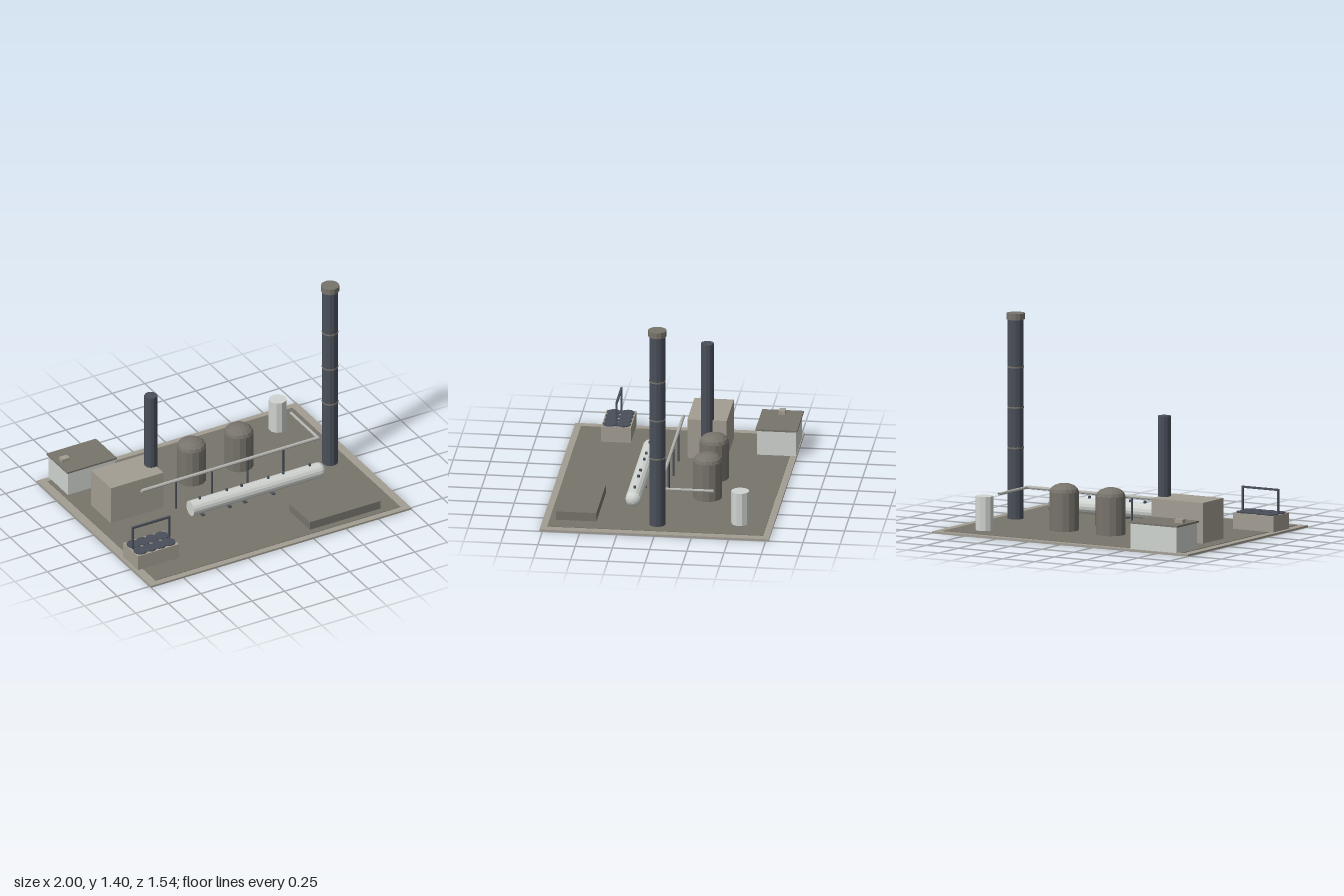
import * as THREE from 'three';

const mat = (name, color, flat = true) =>
  Object.assign(new THREE.MeshStandardMaterial({ color, flatShading: flat }), { name });

export function createModel() {
  const root = new THREE.Group();
  root.name = 'industrialPlant';
  const concrete = mat('concrete', 0xa39e93);
  const grey = mat('darkGrey', 0x78746c);
  const slate = mat('slate', 0x4a4f5a);
  const pale = mat('paleMetal', 0xd0d4d0);
  const G = 0.016; // ground level

  const add = (name, geo, m, x, y, z, parent = root) => {
    const mesh = new THREE.Mesh(geo, m);
    mesh.name = name;
    mesh.position.set(x, y, z);
    parent.add(mesh);
    return mesh;
  };
  // Box and upright cylinder given by their lower and upper limits
  const box = (name, m, x0, x1, y0, y1, z0, z1, parent) =>
    add(name, new THREE.BoxGeometry(x1 - x0, y1 - y0, z1 - z0), m,
      (x0 + x1) / 2, (y0 + y1) / 2, (z0 + z1) / 2, parent);
  const drum = (name, m, x, z, r, y0, y1, sides = 12, parent) =>
    add(name, new THREE.CylinderGeometry(r, r, y1 - y0, sides), m, x, (y0 + y1) / 2, z, parent);
  const group = (name) => {
    const g = new THREE.Group();
    g.name = name;
    root.add(g);
    return g;
  };

  // Ground slab with a pale kerb
  box('kerbSlab', concrete, -1, 1, 0, 0.013, -0.77, 0.77);
  box('yard', grey, -0.94, 0.94, 0.005, G, -0.725, 0.725);

  // Tall banded chimney
  const chimney = group('tallChimney');
  drum('chimneyShaft', slate, 0.815, 0, 0.053, G, 1.37, 12, chimney);
  drum('chimneyCap', grey, 0.815, 0, 0.062, 1.36, 1.402, 12, chimney);
  for (const y of [0.495, 0.768, 1.04])
    drum('chimneyBand', grey, 0.815, 0, 0.056, y - 0.005, y + 0.005, 12, chimney);

  // Boiler house with its stack
  box('boilerHouse', concrete, -0.84, -0.437, G, 0.29, -0.315, -0.05);
  drum('boilerStack', slate, -0.458, -0.182, 0.044, G, 0.832, 12);

  // Office with overhanging roof and roof unit
  const office = group('office');
  box('officeWalls', pale, -0.91, -0.55, G, 0.188, -0.765, -0.505, office);
  box('officeRoof', grey, -0.92, -0.54, 0.188, 0.2, -0.775, -0.495, office);
  box('roofUnit', concrete, -0.89, -0.83, 0.2, 0.225, -0.66, -0.617, office);

  // Water tank
  drum('waterTank', pale, 0.725, -0.546, 0.061, G, 0.245, 10);

  // Domed storage tanks
  for (const x of [-0.094, 0.27]) {
    const tank = group('storageTank');
    add('tankBody', new THREE.CylinderGeometry(0.098, 0.098, 0.26, 14, 1, true), grey, x, G + 0.13, -0.272, tank);
    const dome = add('tankDome', new THREE.SphereGeometry(0.098, 14, 4, 0, Math.PI * 2, 0, Math.PI / 2),
      grey, x, G + 0.26, -0.272, tank);
    dome.scale.y = 0.57;
  }

  // Horizontal vessel: flat at one end, rounded at the other
  const vessel = group('horizontalVessel');
  const R = 0.053, profile = [[0, 0], [R, 0], [R, 0.985]];
  for (let i = 1; i <= 4; i++) {
    const a = (i / 4) * Math.PI / 2;
    profile.push([R * Math.cos(a), 0.985 + 0.042 * Math.sin(a)]);
  }
  const shell = add('vesselShell', new THREE.LatheGeometry(profile.map(p => new THREE.Vector2(...p)), 16),
    pale, -0.365, 0.113, 0.185, vessel);
  shell.rotation.z = -Math.PI / 2;
  for (const x of [-0.29, -0.083, 0.03, 0.235, 0.35, 0.553])
    drum('vesselValve', slate, x, 0.183, 0.009, 0.155, 0.181, 6, vessel);
  for (const x of [-0.29, -0.083, 0.035, 0.25])
    box('vesselSaddle', slate, x - 0.011, x + 0.011, 0.057, 0.066, 0.138, 0.234, vessel);

  // Overhead pipe with a branch and posts
  const pipes = group('pipeBridge');
  const pipe = (name, a, b, r, m) => {
    const curve = new THREE.LineCurve3(new THREE.Vector3(...a), new THREE.Vector3(...b));
    const mesh = add(name, new THREE.TubeGeometry(curve, 1, r, 8), m, 0, 0, 0, pipes);
    return mesh;
  };
  const pipeMat = mat('pipeMetal', 0xb4b5b0);
  pipeMat.side = THREE.DoubleSide;
  pipe('mainPipe', [-0.637, 0.234, 0], [0.727, 0.234, 0], 0.012, pipeMat);
  pipe('branchPipe', [0.723, 0.234, 0], [0.723, 0.234, -0.365], 0.01, pipeMat);
  for (const x of [-0.368, -0.093, 0.182, 0.455])
    drum('pipePost', slate, x, 0, 0.007, 0, 0.23, 6, pipes);

  // Low slab
  box('lowSlab', grey, 0.27, 0.813, G, 0.075, 0.41, 0.68);

  // Cooling unit with eight fans and a gantry
  const cooler = group('coolingUnit');
  box('coolerBody', concrete, -0.98, -0.665, G, 0.124, 0.357, 0.556, cooler);
  for (let i = 0; i < 4; i++)
    for (const z of [0.41, 0.502])
      drum('coolerFan', slate, -0.93 + i * 0.072, z, 0.047, 0.122, 0.132, 12, cooler);
  for (const x of [-0.96, -0.682])
    box('gantryPost', slate, x - 0.006, x + 0.006, 0.12, 0.294, 0.449, 0.461, cooler);
  box('gantryBeam', slate, -0.966, -0.676, 0.282, 0.295, 0.448, 0.462, cooler);

  return root;
}
